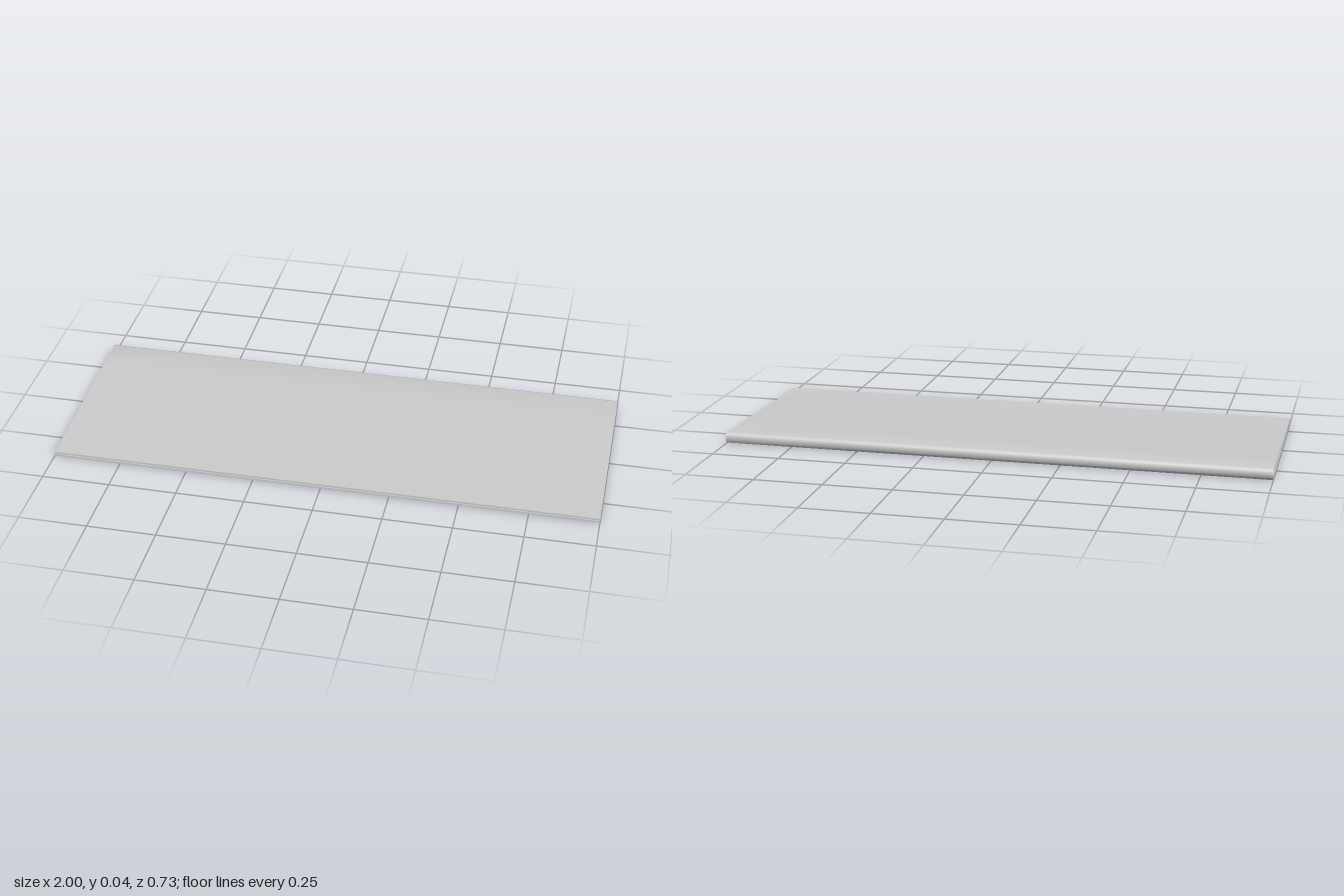
import * as THREE from 'three';
import { toCreasedNormals } from 'three/addons/utils/BufferGeometryUtils.js';

const LENGTH = 2;

// Folded sheet: closed side profile as [z, y], extruded along x
const outer = [
  [0.367, 0], [-0.355, 0], [-0.362, 0.003], [-0.367, 0.01], [-0.367, 0.033],
  [-0.362, 0.039], [-0.355, 0.041], [-0.23, 0.034], [-0.1, 0.033],
  [0, 0.028], [0.1, 0.024], [0.2, 0.019], [0.25, 0.018], [0.367, 0.018],
];
const inner = [
  [0.367, 0.011], [0.25, 0.011], [0.2, 0.012], [0.1, 0.017], [0, 0.022],
  [-0.1, 0.027], [-0.23, 0.028], [-0.352, 0.035], [-0.358, 0.031],
  [-0.358, 0.011], [-0.352, 0.008], [0.367, 0.008],
];

export function createModel() {
  const group = new THREE.Group();
  group.name = 'foldedCloth';

  const profile = new THREE.Shape([...outer, ...inner].map(([z, y]) => new THREE.Vector2(-z, y)));
  const body = new THREE.ExtrudeGeometry(profile, { depth: LENGTH, steps: 4, bevelEnabled: false });
  body.translate(0, 0, -LENGTH / 2);
  body.rotateY(Math.PI / 2);

  // Soft along the fold, sharp at the cut ends
  const cloth = new THREE.Mesh(
    toCreasedNormals(body, 1.0),
    new THREE.MeshStandardMaterial({ color: 0xcccccc, side: THREE.DoubleSide }),
  );
  cloth.name = 'foldedSheet';
  group.add(cloth);
  return group;
}
